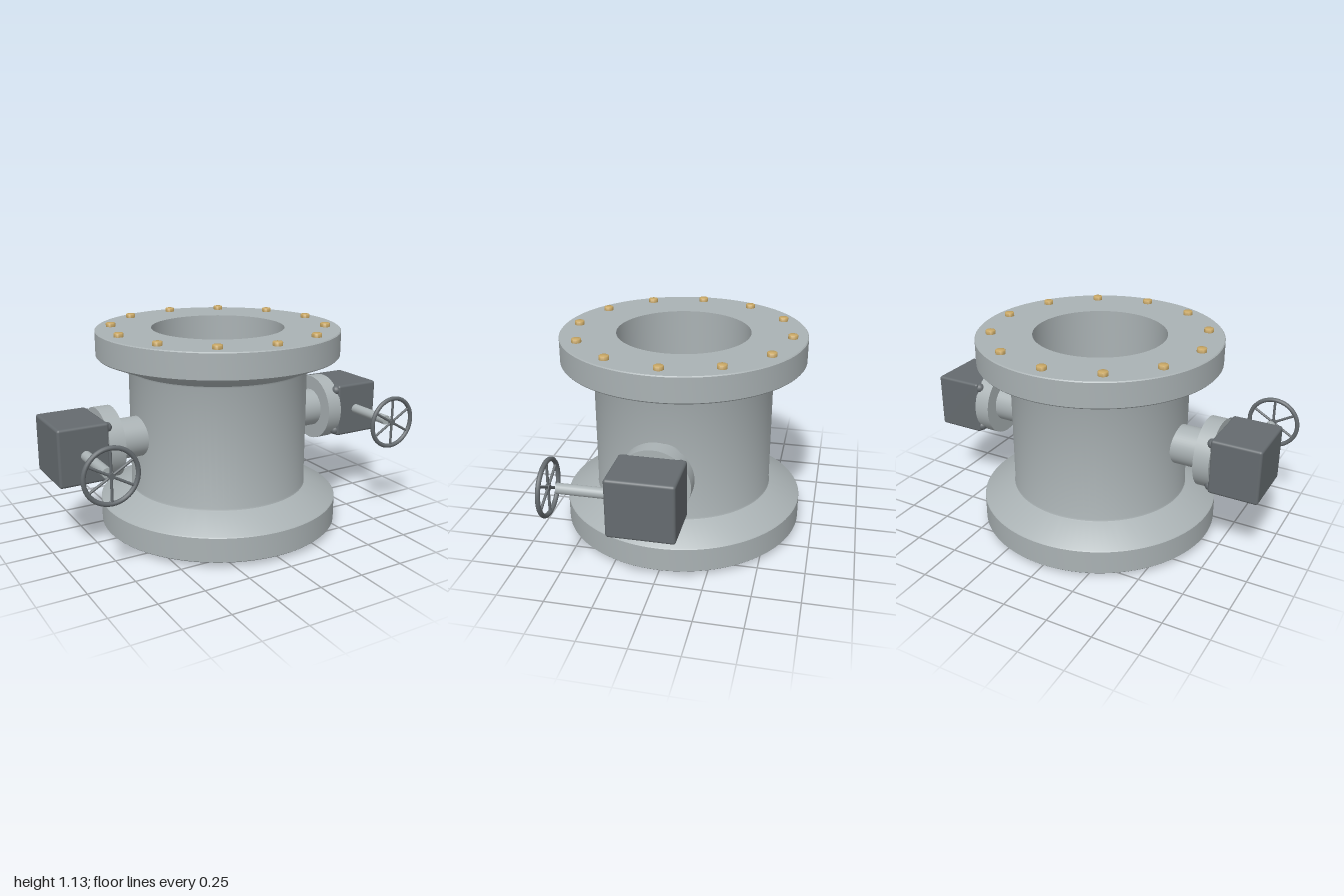
import * as THREE from 'three';
import { toCreasedNormals } from 'three/addons/utils/BufferGeometryUtils.js';
import { RoundedBoxGeometry } from 'three/addons/geometries/RoundedBoxGeometry.js';

const steel = new THREE.MeshStandardMaterial({ color: 0xaab2b4 });
const dark = new THREE.MeshStandardMaterial({ color: 0x656b6f });
const brass = new THREE.MeshStandardMaterial({ color: 0xc9a866 });

const PORT_Y = 0.565;

function add(parent, name, geometry, material, x = 0, y = 0, z = 0) {
  const mesh = new THREE.Mesh(geometry, material);
  mesh.name = name;
  mesh.position.set(x, y, z);
  parent.add(mesh);
  return mesh;
}

// Closed ring profile: bore, bottom flange, barrel, top flange
function spoolGeometry() {
  const profile = [
    [0.362, 0.025], [0.66, 0.025], [0.665, 0.03], [0.665, 0.16], [0.66, 0.166],
    [0.5, 0.232], [0.493, 0.236], [0.49, 0.245],
    [0.49, 0.89], [0.493, 0.899], [0.5, 0.903],
    [0.66, 0.969], [0.665, 0.975], [0.665, 1.105], [0.66, 1.11],
    [0.362, 1.11], [0.362, 0.025],
  ].map(([r, y]) => new THREE.Vector2(r, y));
  return toCreasedNormals(new THREE.LatheGeometry(profile, 96), 0.6);
}

// Cylinder lying along x, from x0 to x1
function pipeAlongX(parent, name, radius, x0, x1) {
  const geometry = new THREE.CylinderGeometry(radius, radius, x1 - x0, 48).rotateZ(Math.PI / 2);
  return add(parent, name, geometry, steel, (x0 + x1) / 2, 0, 0);
}

function createHandwheel() {
  const wheel = new THREE.Group();
  wheel.name = 'handwheel';
  add(wheel, 'rim', new THREE.TorusGeometry(0.138, 0.012, 12, 48), dark);
  for (let i = 0; i < 3; i++) {
    const spoke = add(wheel, 'spokePair', new THREE.CylinderGeometry(0.007, 0.007, 0.276, 10), dark);
    spoke.rotation.z = (i * Math.PI) / 3;
  }
  add(wheel, 'hub', new THREE.CylinderGeometry(0.016, 0.016, 0.02, 16).rotateX(Math.PI / 2), dark);
  return wheel;
}

// Side outlet with valve, built on the +x side
function createValve(side) {
  const valve = new THREE.Group();
  valve.name = side > 0 ? 'leftValve' : 'rightValve';
  pipeAlongX(valve, 'outletPipe', 0.108, 0.21, 0.66);
  pipeAlongX(valve, 'outletFlange', 0.188, 0.64, 0.727);
  add(valve, 'valveBody', new RoundedBoxGeometry(0.272, 0.306, 0.338, 3, 0.014), dark, 0.857, 0, 0);
  for (const y of [-1, 1]) {
    for (const z of [-1, 1]) {
      add(valve, 'bodyStud', new THREE.SphereGeometry(0.027, 16, 12), dark, 0.724, y * 0.122, z * 0.138);
    }
  }
  const stem = new THREE.CylinderGeometry(0.027, 0.027, 0.3, 24).rotateX(Math.PI / 2);
  add(valve, 'stem', stem, steel, 0.85, 0, 0.295);
  const wheel = createHandwheel();
  wheel.position.set(0.85, 0, 0.489);
  valve.add(wheel);
  valve.position.y = PORT_Y;
  // Parts are symmetric, so mirroring their x positions is enough
  for (const part of valve.children) part.position.x *= side;
  return valve;
}

// Twelve bolts through each flange
function createBolts(name, y0, y1) {
  const bolts = new THREE.Group();
  bolts.name = name;
  const geometry = toCreasedNormals(new THREE.LatheGeometry([
    [0, y0], [0.023, y0], [0.026, y0 + 0.003],
    [0.026, y1 - 0.003], [0.023, y1], [0, y1],
  ].map(([r, y]) => new THREE.Vector2(r, y)), 20), 0.9);
  for (let i = 0; i < 12; i++) {
    const a = (i * Math.PI) / 6;
    add(bolts, 'bolt', geometry, brass, Math.sin(a) * 0.583, 0, Math.cos(a) * 0.583);
  }
  return bolts;
}

export function createModel() {
  const model = new THREE.Group();
  model.name = 'flangedSpool';
  add(model, 'spoolBody', spoolGeometry(), steel);
  model.add(createBolts('topBolts', 1.09, 1.131), createBolts('bottomBolts', 0, 0.045));
  model.add(createValve(1), createValve(-1));
  return model;
}
